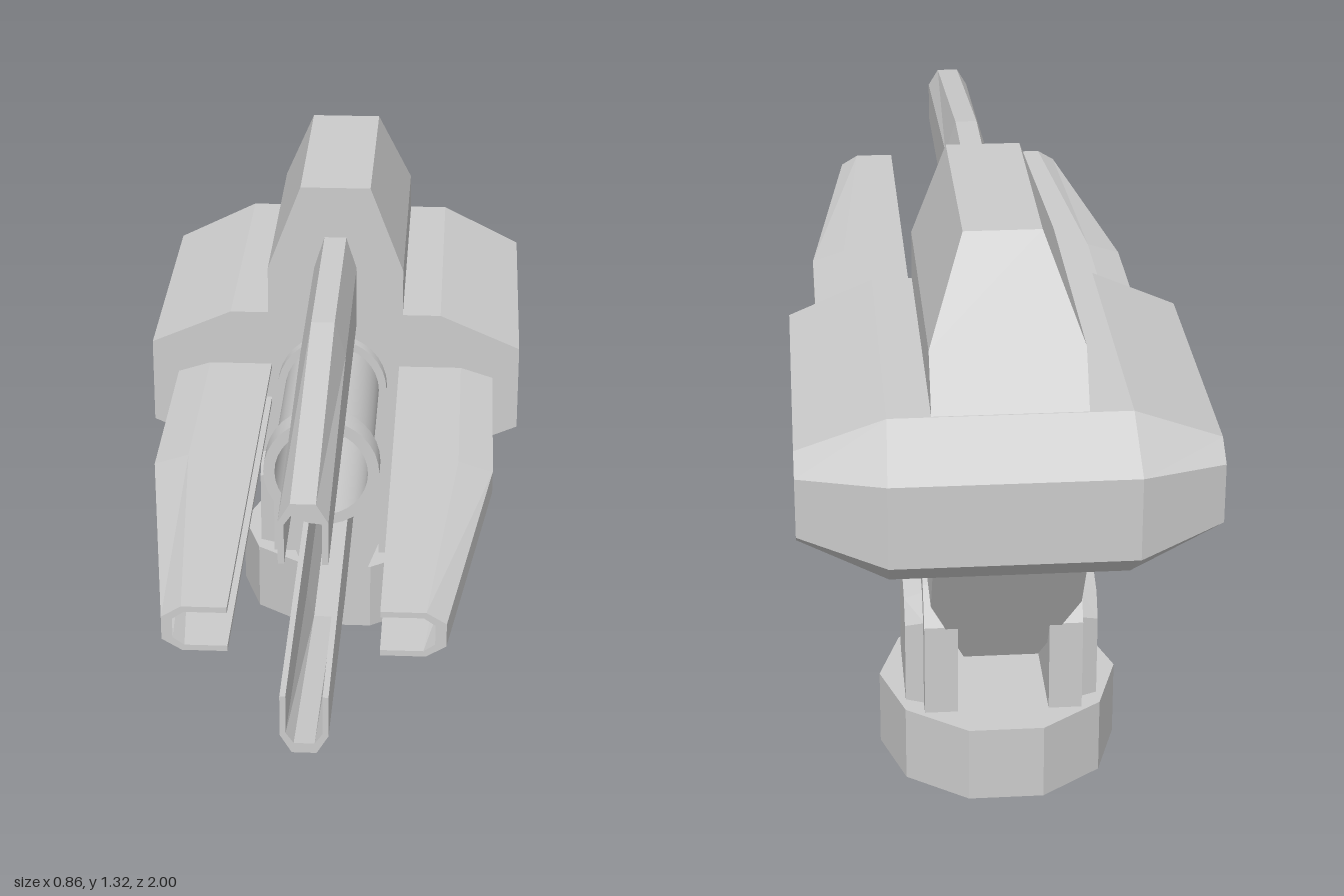
import * as THREE from 'three';
import { toCreasedNormals } from 'three/addons/utils/BufferGeometryUtils.js';

const material = new THREE.MeshStandardMaterial({ color: 0xcccccc, flatShading: true });
const smoothMaterial = new THREE.MeshStandardMaterial({ color: 0xcccccc, side: THREE.DoubleSide });
const AXIS_Y = 0.83; // height of the gun axis

// Skins matching counter-clockwise [x, y, z] loops from front to back.
// Caps are strips joining point i to point n-1-i.
function loft(sections) {
  const out = [];
  const tri = (a, b, c) => out.push(...a, ...b, ...c);
  const n = sections[0].length;
  for (let s = 0; s < sections.length - 1; s++) {
    const A = sections[s], B = sections[s + 1];
    for (let i = 0; i < n; i++) {
      const k = (i + 1) % n;
      tri(A[i], B[i], A[k]);
      tri(B[i], B[k], A[k]);
    }
  }
  const F = sections[0], R = sections[sections.length - 1];
  for (let i = 0, j = n - 1; i + 1 <= j - 1; i++, j--) {
    tri(F[i], F[j - 1], F[j]);
    tri(R[i], R[j], R[j - 1]);
    if (i + 1 < j - 1) {
      tri(F[i], F[i + 1], F[j - 1]);
      tri(R[i], R[j - 1], R[i + 1]);
    }
  }
  const g = new THREE.BufferGeometry();
  g.setAttribute('position', new THREE.Float32BufferAttribute(out, 3));
  g.computeVertexNormals();
  return g;
}

function addMesh(parent, name, geometry, mat = material) {
  const mesh = new THREE.Mesh(geometry, mat);
  mesh.name = name;
  parent.add(mesh);
  return mesh;
}

// Eight-sided wide section; the inner and outer corners have their own depth
function wideSection(xi, yi, zi, xo, yo, zo) {
  return [[xo, yo, zo], [xi, yi, zi], [-xi, yi, zi], [-xo, yo, zo],
    [-xo, -yo, zo], [-xi, -yi, zi], [xi, -yi, zi], [xo, -yo, zo]];
}

// Fin section whose depth comes from a rule on height
function finSection(depth) {
  return [[0.157, 0.1], [0.157, 0.29], [0.08, 0.49], [-0.08, 0.49], [-0.157, 0.29], [-0.157, 0.1]]
    .map(([x, y]) => [x, y, depth(y)]);
}

// Chamfered channel, open towards the gun axis
function railSection(z, shoulder, top) {
  const outer = [[0.049, 0.15], [0.049, shoulder], [0.025, top]];
  const inner = [[0.037, 0.15], [0.037, shoulder - 0.005], [0.021, top - 0.022]];
  const flip = (pts) => pts.map(([x, y]) => [-x, y]).reverse();
  return [...outer, ...flip(outer), ...flip(flip(inner)).map(([x, y]) => [-x, y]), ...inner.slice().reverse()]
    .map(([x, y]) => [x, y, z]);
}

// Arch with sloped shoulders
function archSection(z, hw, side, shoulderX, shoulderY, top) {
  return [[hw, 0.24], [hw, side], [shoulderX, shoulderY], [0, top],
    [-shoulderX, shoulderY], [-hw, side], [-hw, 0.24]].map(([x, y]) => [x, y, z]);
}

export function createModel() {
  const model = new THREE.Group();
  model.name = 'turret';

  const gun = new THREE.Group();
  gun.name = 'gun';
  gun.position.y = AXIS_Y;
  model.add(gun);

  // Wide housing with bevelled back
  addMesh(gun, 'housing', loft([
    wideSection(0.245, 0.18, -0.165, 0.43, 0.1, -0.165),
    wideSection(0.245, 0.18, -0.878, 0.43, 0.1, -0.845),
    wideSection(0.25, 0.09, -1, 0.43, 0.065, -0.9),
  ]));

  // Upper and lower fins with slanted backs
  const fin = loft([finSection(() => -0.165), finSection((y) => -0.675 - 0.645 * (0.49 - y))]);
  ['upperFin', 'lowerFin'].forEach((name, i) => {
    addMesh(gun, name, fin).rotation.z = i * Math.PI;
  });

  // Four tapering rails around the barrel
  const rail = loft([
    railSection(1, 0.24, 0.28),
    railSection(0.33, 0.295, 0.37),
    railSection(-0.17, 0.295, 0.37),
  ]);
  ['topRail', 'leftRail', 'bottomRail', 'rightRail'].forEach((name, i) => {
    addMesh(gun, name, rail).rotation.z = -i * Math.PI / 2;
  });

  // Hollow barrel with a flange at each end
  const profile = [[0.103, -0.17], [0.128, -0.17], [0.128, -0.135], [0.11, -0.135],
    [0.11, 0.24], [0.128, 0.24], [0.128, 0.305], [0.103, 0.305], [0.103, -0.17]]
    .map(([r, z]) => new THREE.Vector2(r, z));
  const barrel = new THREE.LatheGeometry(profile, 32);
  barrel.rotateX(Math.PI / 2);
  addMesh(gun, 'barrel', toCreasedNormals(barrel, 0.6), smoothMaterial).position.x = -0.006;

  // Ten-sided base and its post
  const mount = new THREE.Group();
  mount.name = 'mount';
  mount.position.z = -0.58;
  model.add(mount);
  addMesh(mount, 'base', new THREE.CylinderGeometry(0.258, 0.258, 0.17, 10, 1, false, Math.PI / 2)).position.y = 0.163;
  addMesh(mount, 'post', new THREE.CylinderGeometry(0.065, 0.065, 0.09, 12)).position.y = 0.045;

  // Arched brackets with a bevelled boss on the outside
  const plate = loft([archSection(0.168, 0.167, 0.455, 0.122, 0.535, 0.58),
    archSection(0.097, 0.167, 0.455, 0.122, 0.535, 0.58)]);
  const boss = loft([archSection(0.206, 0.11, 0.43, 0.08, 0.48, 0.512),
    archSection(0.165, 0.127, 0.445, 0.09, 0.5, 0.535)]);
  [['left', 1], ['right', -1]].forEach(([side, s]) => {
    const bracket = new THREE.Group();
    bracket.name = side + 'Bracket';
    bracket.rotation.y = s * Math.PI / 2;
    addMesh(bracket, 'plate', plate);
    addMesh(bracket, 'boss', boss);
    mount.add(bracket);
  });

  return model;
}
